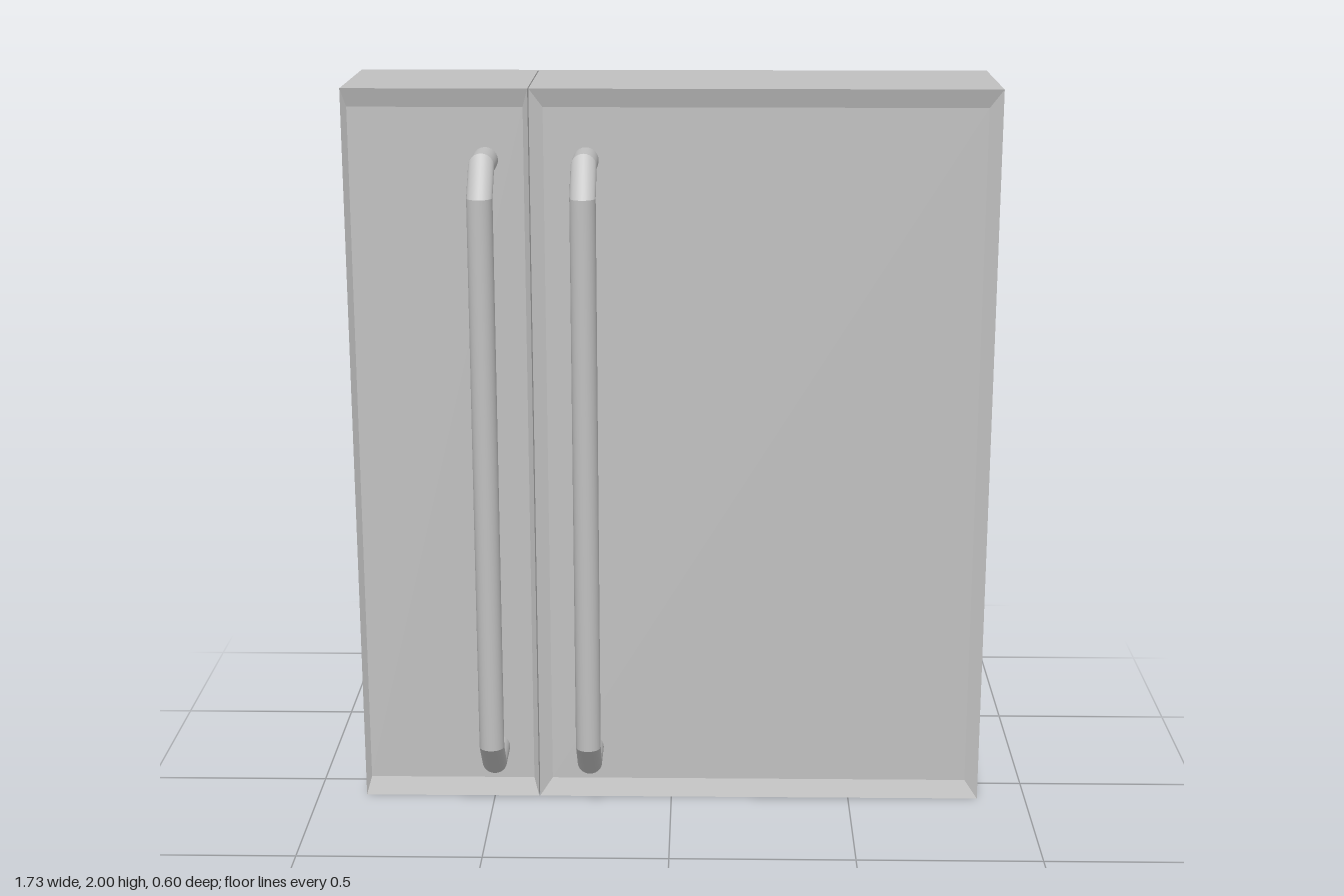
import * as THREE from 'three';

const steel = new THREE.MeshStandardMaterial({ color: 0xc0c0c0 });
steel.name = 'brushedSteel';

function makeGeometry(points, index) {
  const g = new THREE.BufferGeometry();
  g.setAttribute('position', new THREE.Float32BufferAttribute(points, 3));
  g.setIndex(index);
  return g;
}

// Door slab: rectangular loft whose front and back panels are slightly sunken
// behind sloping borders. The border width scales with the door width.
function doorGeometry(x0, x1) {
  const front = 0.105, back = -0.303, sink = 0.015;
  const w = (x1 - x0) / 2, cx = (x0 + x1) / 2, bx = w * 0.057, by = 0.05;
  const sections = [
    [w - bx, 1 - by, front - sink],
    [w, 1, front],
    [w, 1, back],
    [w - bx, 1 - by, back + sink],
  ];
  const points = [], index = [0, 1, 2, 0, 2, 3, 12, 14, 13, 12, 15, 14];
  for (const [hw, hh, z] of sections)
    for (const [sx, sy] of [[1, 1], [-1, 1], [-1, -1], [1, -1]])
      points.push(cx + sx * hw, 1 + sy * hh, z);
  for (let i = 0; i < 3; i++)
    for (let j = 0; j < 4; j++) {
      const a = i * 4 + j, b = i * 4 + (j + 1) % 4;
      index.push(a, a + 4, b, b, a + 4, b + 4);
    }
  const g = makeGeometry(points, index).toNonIndexed();
  g.computeVertexNormals();
  return g;
}

// Bar handle: round sections joined by separate segments, so the bends stay crisp.
function handleGeometry() {
  const r = 0.034, sides = 24;
  // centre y, centre z, outward direction (y, z)
  const path = [
    [1.811, 0.08, 1, 0], [1.811, 0.2, 1, 0], [1.74, 0.267, 0, 1],
    [0.22, 0.267, 0, 1], [0.145, 0.2, -1, 0], [0.145, 0.08, -1, 0],
  ];
  const points = [], index = [];
  for (let s = 0; s < path.length - 1; s++) {
    const base = points.length / 3;
    for (const [y, z, oy, oz] of [path[s], path[s + 1]])
      for (let j = 0; j < sides; j++) {
        const t = (j / sides) * Math.PI * 2, out = r * Math.sin(t);
        points.push(r * Math.cos(t), y + oy * out, z + oz * out);
      }
    for (let j = 0; j < sides; j++) {
      const a = base + j, b = base + (j + 1) % sides;
      index.push(a, b, a + sides, b, b + sides, a + sides);
    }
  }
  const g = makeGeometry(points, index);
  g.computeVertexNormals();
  return g;
}

export function createModel() {
  const model = new THREE.Group();
  model.name = 'doubleDoor';
  const add = (name, geometry, x = 0) => {
    const mesh = new THREE.Mesh(geometry, steel);
    mesh.name = name;
    mesh.position.x = x;
    model.add(mesh);
  };

  // Doors, a narrow and a wide one, with a hairline gap
  add('narrowDoor', doorGeometry(-0.865, -0.375));
  add('wideDoor', doorGeometry(-0.372, 0.865));

  // Handles on either side of the gap
  const handle = handleGeometry();
  add('narrowDoorHandle', handle, -0.49);
  add('wideDoorHandle', handle, -0.225);
  return model;
}
